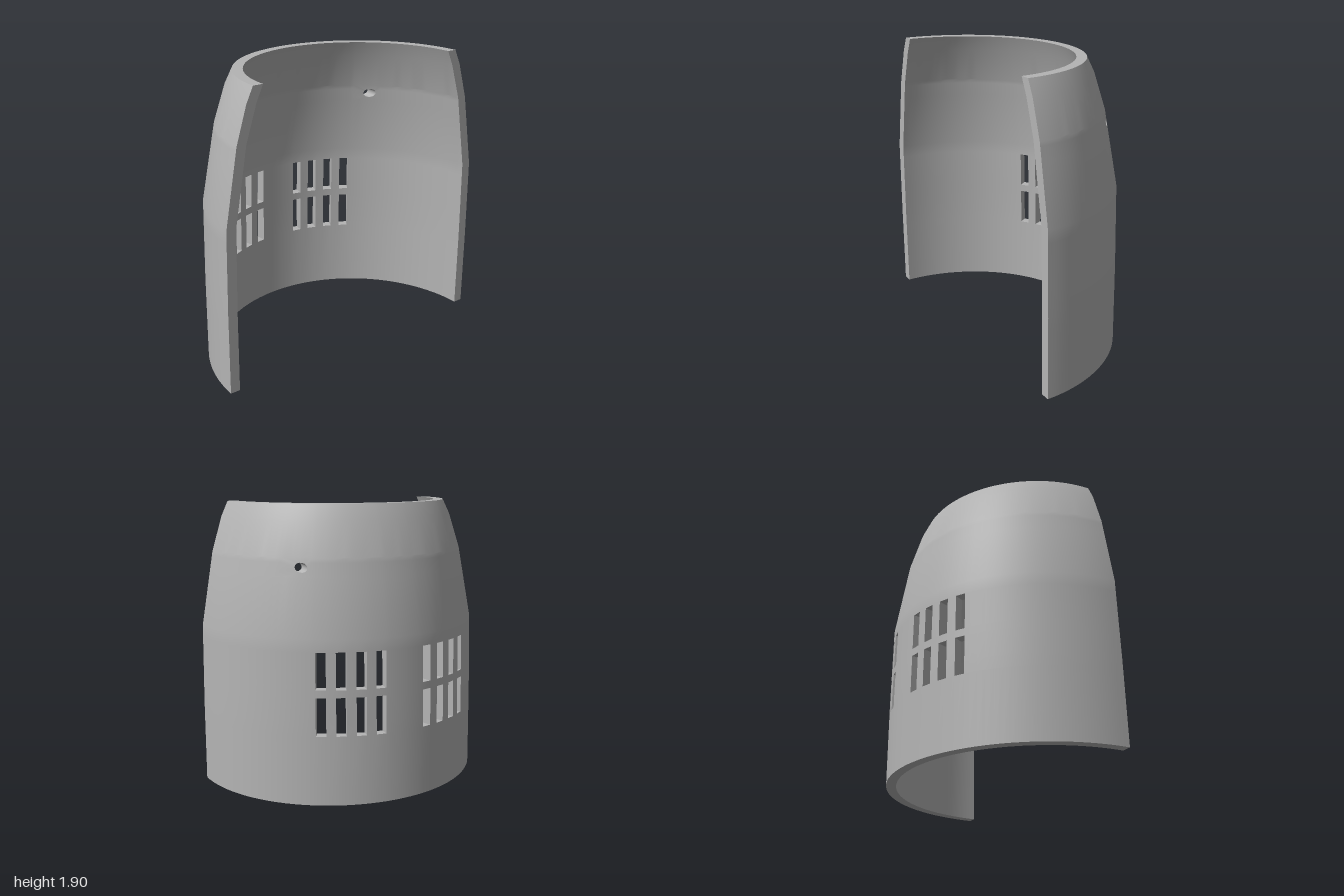
import * as THREE from 'three';
import { toCreasedNormals } from 'three/addons/utils/BufferGeometryUtils.js';

// Wall profile: height, outer radius, inner radius
const PROFILE = [
  [0, 1, 0.935], [0.54, 0.997, 0.932], [1.08, 0.987, 0.921],
  [1.57, 0.9, 0.836], [1.8, 0.829, 0.762], [1.9, 0.782, 0.716],
];
const AXIS_Z = 0.5;
const SLOT_ROWS = [[0.46, 0.71], [0.76, 1.0]];
const SLOT_COLS = [0, 1, 2, 3].map((i) => [8 + 7.45 * i, 11.8 + 7.45 * i]);
const HOLE = { x: 0.583, y: 1.515, r: 0.031, a0: 36, a1: 48.5, y0: 1.455, y1: 1.575 };

function radius(y, inner) {
  let i = 0;
  while (i < PROFILE.length - 2 && y > PROFILE[i + 1][0]) i++;
  const [p, q] = [PROFILE[i], PROFILE[i + 1]];
  const k = inner ? 2 : 1;
  return THREE.MathUtils.lerp(p[k], q[k], (y - p[0]) / (q[0] - p[0]));
}

// Point on the outer or inner skin at an angle (degrees) round the axis
function skin(deg, y, inner) {
  const r = radius(y, inner), a = THREE.MathUtils.degToRad(deg);
  return [r * Math.sin(a), y, AXIS_Z - r * Math.cos(a)];
}

// Point on a skin at a given x, used by the hole bored along z
function skinAtX(x, y, inner) {
  const r = radius(y, inner);
  return [x, y, AXIS_Z - Math.sqrt(r * r - x * x)];
}

const sortUnique = (list) => [...new Set(list.map((v) => +v.toFixed(4)))].sort((a, b) => a - b);
const inRange = (v, a, b) => v > a && v < b;
const pair = (f) => [f(false), f(true)]; // outer and inner point

function shellGeometry() {
  const pos = [];
  const quad = (a, b, c, d) => pos.push(...a, ...b, ...c, ...a, ...c, ...d);
  // Both skins of one patch, corners counter-clockwise from outside
  const patch = (a, b, c, d) => {
    quad(a[0], b[0], c[0], d[0]);
    quad(d[1], c[1], b[1], a[1]);
  };
  // Thickness face along a patch edge
  const edge = (a, b) => quad(b[0], a[0], a[1], b[1]);

  // Grid lines follow the slots and the patch round the hole
  const cols = [];
  const slotEdges = SLOT_COLS.flat();
  slotEdges.forEach((a) => cols.push(a, -a));
  for (let a = -90; a <= 90; a += 3) {
    const nearSlot = Math.abs(a) > 7 && Math.abs(a) < 35;
    if (!nearSlot && !inRange(a, HOLE.a0 - 0.5, HOLE.a1)) cols.push(a);
  }
  for (let i = 0; i <= 5; i++) cols.push(HOLE.a0 + (HOLE.a1 - HOLE.a0) * i / 5);
  const rows = [...PROFILE.map((p) => p[0]), ...SLOT_ROWS.flat()];
  for (let i = 0; i <= 4; i++) rows.push(HOLE.y0 + (HOLE.y1 - HOLE.y0) * i / 4);
  const A = sortUnique(cols), Y = sortUnique(rows);

  const isSolid = (i, j) => {
    if (i < 0 || j < 0 || i >= A.length - 1 || j >= Y.length - 1) return false;
    const a = Math.abs((A[i] + A[i + 1]) / 2), y = (Y[j] + Y[j + 1]) / 2;
    return !(SLOT_COLS.some((s) => inRange(a, ...s)) && SLOT_ROWS.some((s) => inRange(y, ...s)));
  };
  const isHolePatch = (i, j) => inRange((A[i] + A[i + 1]) / 2, HOLE.a0, HOLE.a1)
    && inRange((Y[j] + Y[j + 1]) / 2, HOLE.y0, HOLE.y1);
  const P = (i, j) => pair((inner) => skin(A[i], Y[j], inner));

  for (let i = 0; i < A.length - 1; i++) {
    for (let j = 0; j < Y.length - 1; j++) {
      if (!isSolid(i, j) || isHolePatch(i, j)) continue;
      const a = P(i + 1, j), b = P(i, j), c = P(i, j + 1), d = P(i + 1, j + 1);
      patch(a, b, c, d);
      if (!isSolid(i, j - 1)) edge(a, b);
      if (!isSolid(i - 1, j)) edge(b, c);
      if (!isSolid(i, j + 1)) edge(c, d);
      if (!isSolid(i + 1, j)) edge(d, a);
    }
  }

  // Round hole: join the border of its patch to a circle
  const i0 = A.indexOf(HOLE.a0), i1 = A.indexOf(HOLE.a1);
  const j0 = Y.indexOf(HOLE.y0), j1 = Y.indexOf(HOLE.y1);
  const border = [];
  for (let i = i1; i > i0; i--) border.push(P(i, j0));
  for (let j = j0; j < j1; j++) border.push(P(i0, j));
  for (let i = i0; i < i1; i++) border.push(P(i, j1));
  for (let j = j1; j > j0; j--) border.push(P(i1, j));
  const circle = border.map(([o, n]) => {
    const t = Math.atan2(o[1] - HOLE.y, (o[0] + n[0]) / 2 - HOLE.x);
    const x = HOLE.x + HOLE.r * Math.cos(t), y = HOLE.y + HOLE.r * Math.sin(t);
    return pair((inner) => skinAtX(x, y, inner));
  });
  border.forEach((p, k) => {
    const n = (k + 1) % border.length;
    patch(p, border[n], circle[n], circle[k]);
    edge(circle[n], circle[k]);
  });

  const geo = new THREE.BufferGeometry();
  geo.setAttribute('position', new THREE.Float32BufferAttribute(pos, 3));
  return toCreasedNormals(geo, 0.5);
}

export function createModel() {
  const grey = new THREE.MeshStandardMaterial({ color: 0xb4b4b4 });
  grey.name = 'plain grey';
  const shell = new THREE.Mesh(shellGeometry(), grey);
  shell.name = 'ventedHalfShell';
  const model = new THREE.Group();
  model.name = 'halfCover';
  model.add(shell);
  return model;
}
